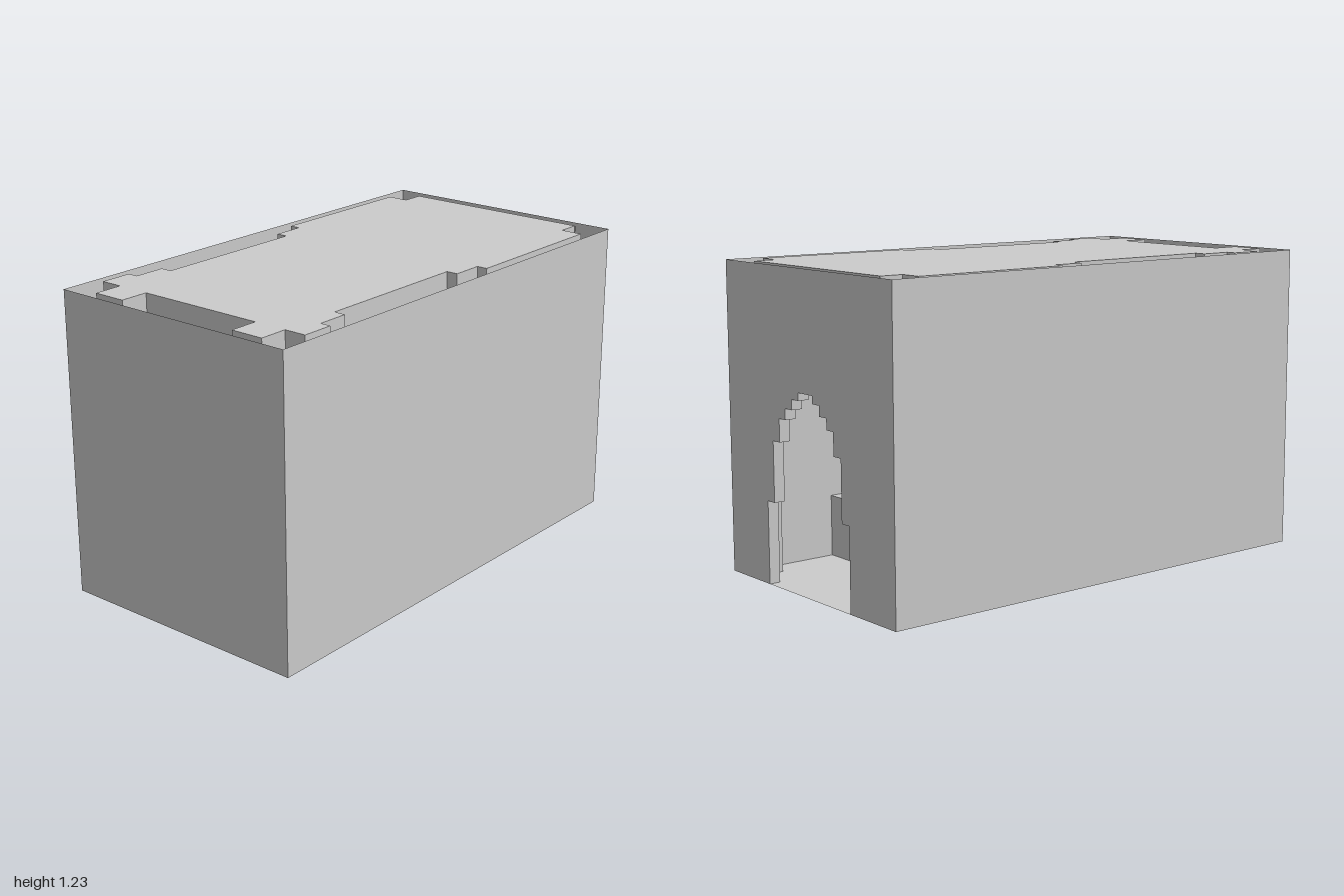
import * as THREE from 'three';

const material = new THREE.MeshStandardMaterial({ color: 0xcccccc, flatShading: true, side: THREE.DoubleSide });
const TOP = 1.225, FLOOR = 0.006;

const vectors = (points) => points.map(([x, y]) => new THREE.Vector2(x, y));

function add(group, name, geometry) {
  const mesh = new THREE.Mesh(geometry, material);
  mesh.name = name;
  group.add(mesh);
  return mesh;
}

// Sweeps a line of 3D points along an offset, one quad per segment
function sweep(points, [ox, oy, oz]) {
  const positions = [];
  for (let i = 0; i < points.length - 1; i++) {
    const a = points[i], b = points[i + 1];
    const c = [b[0] + ox, b[1] + oy, b[2] + oz], d = [a[0] + ox, a[1] + oy, a[2] + oz];
    positions.push(...a, ...b, ...c, ...a, ...c, ...d);
  }
  const geometry = new THREE.BufferGeometry();
  geometry.setAttribute('position', new THREE.Float32BufferAttribute(positions, 3));
  geometry.computeVertexNormals();
  return geometry;
}

// Upright walls along a plan of [x, z] points
const walls = (plan, y0, y1) => sweep(plan.map(([x, z]) => [x, y0, z]), [0, y1 - y0, 0]);

// Flat slab face from a plan of [x, z] points
function flat(plan, y, hole) {
  const shape = new THREE.Shape(vectors(plan));
  if (hole) shape.holes.push(new THREE.Path(vectors(hole)));
  return new THREE.ShapeGeometry(shape).rotateX(Math.PI / 2).translate(0, y, 0);
}

const rectangle = (x0, x1, z) => [[x0, -z], [x1, -z], [x1, z], [x0, z]];
const closed = (plan) => [...plan, plan[0]];

// Doorway outline as [z, y]: steps narrowing to the crown
function doorOutline() {
  const tiers = [[0.268, 0.33], [0.222, 0.567], [0.177, 0.657], [0.135, 0.7], [0.09, 0.74], [0.045, 0.77]];
  const half = [];
  let y = FLOOR;
  for (const [w, top] of tiers) {
    half.push([w, y], [w, top]);
    y = top;
  }
  const mirrored = half.map(([w, h]) => [-w, h]).reverse();
  return [...half, ...mirrored].map(([z, h]) => [z + 0.007, h]);
}

// Wall across x with the doorway cut out
function doorWall(x, halfWidth, door) {
  const outline = [[-halfWidth, FLOOR], [-halfWidth, TOP], [halfWidth, TOP], [halfWidth, FLOOR], ...door];
  const shape = new THREE.Shape(vectors(outline.map(([z, y]) => [-z, y])));
  return new THREE.ShapeGeometry(shape).rotateY(Math.PI / 2).translate(x, 0, 0);
}

export function createModel() {
  const model = new THREE.Group();
  model.name = 'vaultedRoom';
  const door = doorOutline();

  // Outer shell, open at the top
  add(model, 'outerWalls', walls([[1, -0.535], [-1, -0.535], [-1, 0.535], [1, 0.535]], FLOOR, TOP));
  add(model, 'outerDoorWall', doorWall(1, 0.535, door));

  // Inner room: half plan with pilasters, mirrored over z
  const half = [
    [0.955, 0.405], [0.862, 0.405], [0.862, 0.495], [0.205, 0.495], [0.205, 0.452], [0.075, 0.452],
    [0.075, 0.405], [-0.58, 0.405], [-0.58, 0.452], [-0.71, 0.452], [-0.71, 0.495], [-0.84, 0.495],
    [-0.84, 0.405], [-0.957, 0.405], [-0.957, 0.268], [-0.84, 0.268],
  ];
  const roomPlan = [...half, ...half.map(([x, z]) => [x, -z]).reverse()].map(([x, z]) => [x, z - 0.004]);
  add(model, 'roomWalls', walls(roomPlan, FLOOR, TOP));
  add(model, 'roomCeiling', flat(roomPlan, TOP));
  add(model, 'innerDoorWall', doorWall(0.955, 0.405, door));
  add(model, 'doorReveal', sweep(door.map(([z, y]) => [0.955, y, z]), [0.045, 0, 0]));

  // Ground floor around the raised platform
  add(model, 'groundFloor', flat(rectangle(-1, 1, 0.535), FLOOR, rectangle(-0.905, 0.57, 0.505)));

  // Raised platform, open below, with a notch facing the door
  const platform = [
    [-0.905, -0.505], [0.57, -0.505], [0.57, -0.268], [0.305, -0.268],
    [0.305, 0.268], [0.57, 0.268], [0.57, 0.505], [-0.905, 0.505],
  ];
  add(model, 'platformSides', walls(closed(platform), 0, 0.253));
  add(model, 'platformTop', flat(platform, 0.253));

  // Sunken basin whose front rises in steps
  const profile = [
    [-0.83, 0.08], [-0.02, 0.08], [-0.02, 0.15], [0.05, 0.15],
    [0.05, 0.198], [0.12, 0.198], [0.12, 0.275], [-0.83, 0.275],
  ];
  const basin = new THREE.ExtrudeGeometry(new THREE.Shape(vectors(profile)), { depth: 0.52, bevelEnabled: false });
  add(model, 'steppedBasin', basin.translate(0, 0, -0.26));

  return model;
}
